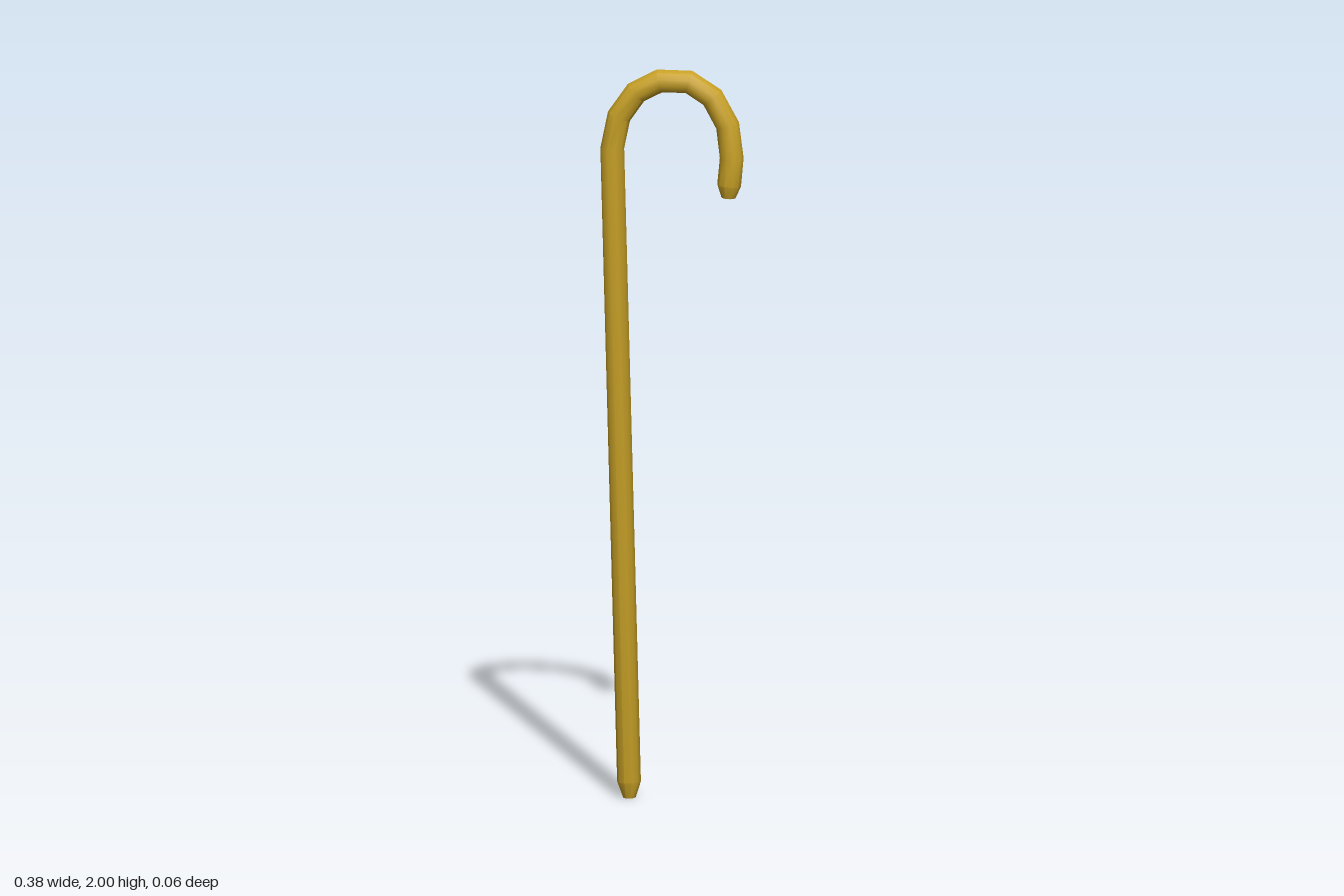
import * as THREE from 'three';
import { toCreasedNormals } from 'three/addons/utils/BufferGeometryUtils.js';

const SIDES = 10;

// Sweep a ten-sided ring along a path of [x, y, radius] in the z = 0 plane, with closed ends
function sweep(path) {
  const pos = [], index = [], last = path.length - 1;
  path.forEach(([x, y, r], i) => {
    const a = path[Math.max(i - 1, 0)], b = path[Math.min(i + 1, last)];
    const t = new THREE.Vector2(b[0] - a[0], b[1] - a[1]).normalize();
    for (let j = 0; j < SIDES; j++) {
      const ang = (j / SIDES) * Math.PI * 2, n = r * Math.cos(ang);
      pos.push(x - t.y * n, y + t.x * n, r * Math.sin(ang));
    }
  });
  for (let i = 0; i < last; i++) {
    for (let j = 0; j < SIDES; j++) {
      const k = (j + 1) % SIDES, p = i * SIDES, q = p + SIDES;
      index.push(p + j, p + k, q + k, p + j, q + k, q + j);
    }
  }
  // End caps
  for (let j = 1; j < SIDES - 1; j++) {
    const e = last * SIDES;
    index.push(0, j + 1, j, e, e + j, e + j + 1);
  }
  const geo = new THREE.BufferGeometry();
  geo.setAttribute('position', new THREE.Float32BufferAttribute(pos, 3));
  geo.setIndex(index);
  return toCreasedNormals(geo, 0.66);
}

export function createModel() {
  const R = 0.032;
  const path = [
    // Tapered foot and leaning shaft
    [-0.115, 0.001, 0.017], [-0.116, 0.045, R], [-0.161, 1.78, R],
    // Curved handle
    [-0.143, 1.868, R], [-0.097, 1.934, R], [-0.034, 1.967, R], [0.045, 1.966, R],
    [0.108, 1.925, R], [0.149, 1.849, R], [0.16, 1.76, R],
    // Tapered handle tip
    [0.153, 1.685, R], [0.151, 1.651, 0.019],
  ];
  const cane = new THREE.Mesh(
    sweep(path),
    new THREE.MeshStandardMaterial({ color: 0xc9a227 })
  );
  cane.name = 'cane';
  const group = new THREE.Group();
  group.name = 'walkingCane';
  group.add(cane);
  return group;
}
